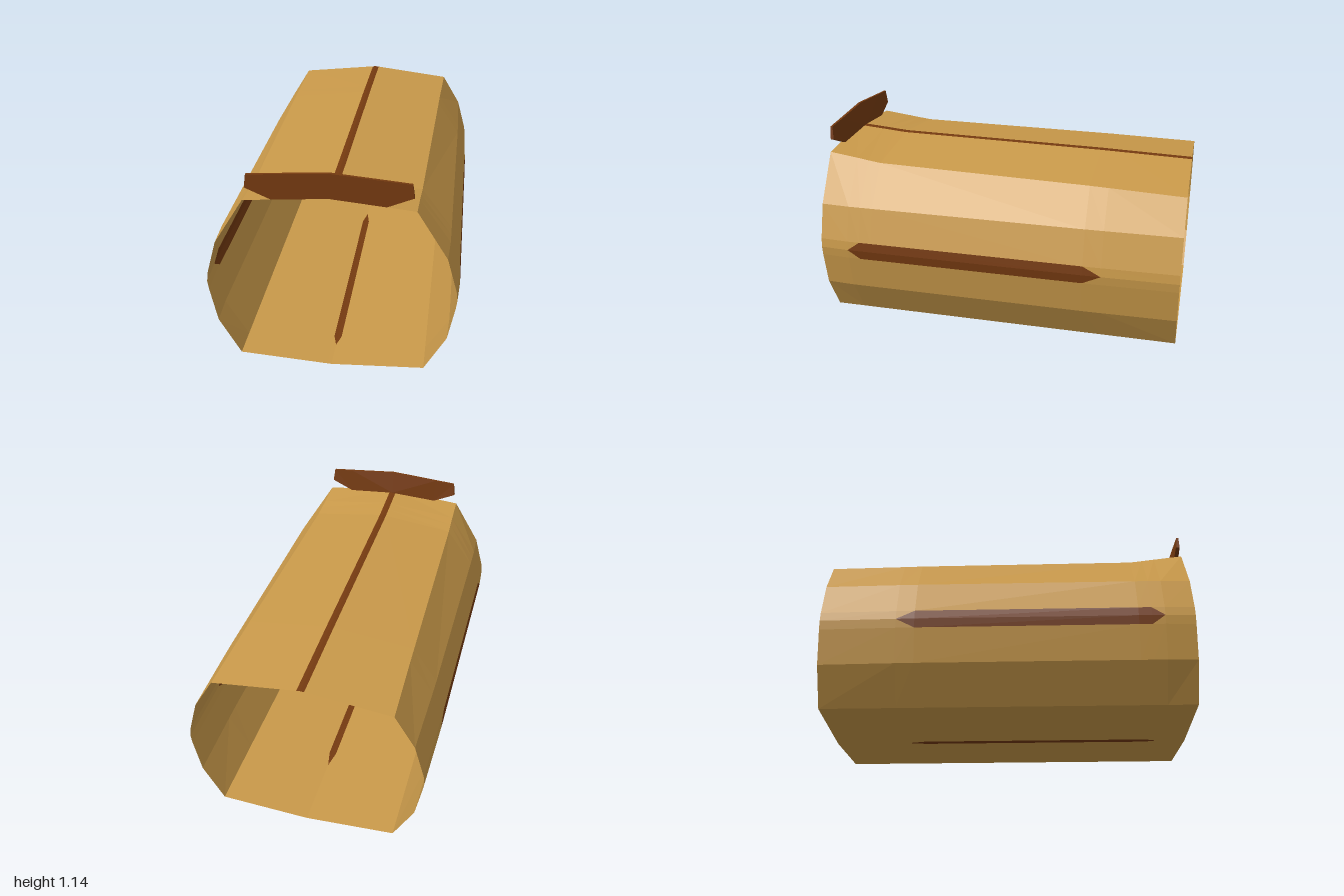
import * as THREE from 'three';

// Stations along the barrel: z, roof ridge y, shoulder x, shoulder y, side width factor
const stations = [
  [1, 1.015, 0.425, 0.975, 0.986],
  [0.84, 1.002, 0.428, 0.954, 1],
  [0.77, 0.996, 0.43, 0.944, 1],
  [0.7, 0.99, 0.432, 0.935, 1],
  [-0.49, 0.97, 0.459, 0.915, 1],
  [-0.59, 0.967, 0.461, 0.912, 0.998],
  [-1, 0.955, 0.472, 0.9, 0.984],
];
const STRIPE = 0.02;

// Half cross-section from the ridge down the side to the keel
function halfSection([z, ridge, sx, sy, f], side) {
  const edge = ridge + (sy - ridge) * (STRIPE / sx);
  return [
    [0, ridge], [STRIPE, edge], [sx, sy],
    [0.59 * f, 0.72], [0.644 * f, 0.53], [0.65 * f, 0.48], [0.644 * f, 0.43],
    [0.608 * f, 0.24], [0.488, 0.034], [STRIPE, 0.006], [0, 0.005],
  ].map(([x, y]) => new THREE.Vector3(x * side, y, z));
}

function meshFrom(points, material, name) {
  const geometry = new THREE.BufferGeometry().setFromPoints(points);
  geometry.computeVertexNormals();
  const mesh = new THREE.Mesh(geometry, material);
  mesh.name = name;
  return mesh;
}

export function createModel() {
  const model = new THREE.Group();
  model.name = 'openBarrel';
  const wood = new THREE.MeshStandardMaterial({
    name: 'tan', color: 0xca9a4a, side: THREE.DoubleSide, flatShading: true });
  const dark = new THREE.MeshStandardMaterial({
    name: 'dark brown', color: 0x753a10, side: THREE.DoubleSide, flatShading: true });

  // Open shell, with the stripes inlaid as faces of the same surface
  const shell = [], ridgeStripe = [], sideStripes = [], keelStripe = [];
  for (const side of [1, -1]) {
    const tri = (list, a, b, c) => list.push(...(side > 0 ? [a, b, c] : [a, c, b]));
    const quad = (list, a, b, c, d) => { tri(list, a, b, c); tri(list, a, c, d); };
    const rings = stations.map((s) => halfSection(s, side));
    for (let i = 0; i < rings.length - 1; i++) {
      const p = rings[i], q = rings[i + 1];
      for (let j = 0; j < 10; j++) {
        const inlay = j === 4 || j === 5 ? sideStripes : j === 9 ? keelStripe : null;
        if (j === 0) {
          quad(ridgeStripe, p[0], p[1], q[1], q[0]);
        } else if (inlay && (i === 2 || i === 3)) {
          quad(inlay, p[j], p[j + 1], q[j + 1], q[j]);
        } else if (inlay && (i === 1 || i === 4)) {
          // Pointed stripe end: cut the quad from the tip to the stripe edge
          const tip = j === 5 ? j : j + 1, edge = j === 5 ? j + 1 : j;
          const near = i === 1 ? p : q, far = i === 1 ? q : p;
          const flip = (i === 1) === (j === 5);
          const cut = (list, a, b, c) => (flip ? tri(list, a, b, c) : tri(list, a, c, b));
          cut(inlay, near[tip], far[edge], far[tip]);
          cut(shell, near[tip], near[edge], far[edge]);
        } else {
          quad(shell, p[j], p[j + 1], q[j + 1], q[j]);
        }
      }
    }
  }
  model.add(
    meshFrom(shell, wood, 'barrelShell'),
    meshFrom(ridgeStripe, dark, 'ridgeStripe'),
    meshFrom(sideStripes, dark, 'sideStripes'),
    meshFrom(keelStripe, dark, 'keelStripe'),
  );

  // Wing crest on the front edge of the roof: x, top y, bottom y, back z at top, back z at bottom
  const ribs = [
    [0, 1.148, 1.013, 0.985, 0.962],
    [0.28, 1.126, 0.988, 0.986, 0.974],
    [0.4, 1.117, 1.041, 0.988, 0.978],
    [0.41, 1.046, 1.045, 0.982, 0.98],
  ];
  const crest = [];
  for (const side of [1, -1]) {
    const loops = ribs.map(([x, top, bottom, zt, zb]) => [
      [top, 1], [bottom, 1], [bottom, zb], [top, zt],
    ].map(([y, z]) => new THREE.Vector3(x * side, y, z)));
    for (let i = 0; i < loops.length - 1; i++) {
      for (let k = 0; k < 4; k++) {
        const a = loops[i][k], b = loops[i][(k + 1) % 4];
        const c = loops[i + 1][(k + 1) % 4], d = loops[i + 1][k];
        crest.push(...(side > 0 ? [a, b, c, a, c, d] : [a, c, b, a, d, c]));
      }
    }
  }
  model.add(meshFrom(crest, dark, 'wingCrest'));
  return model;
}
